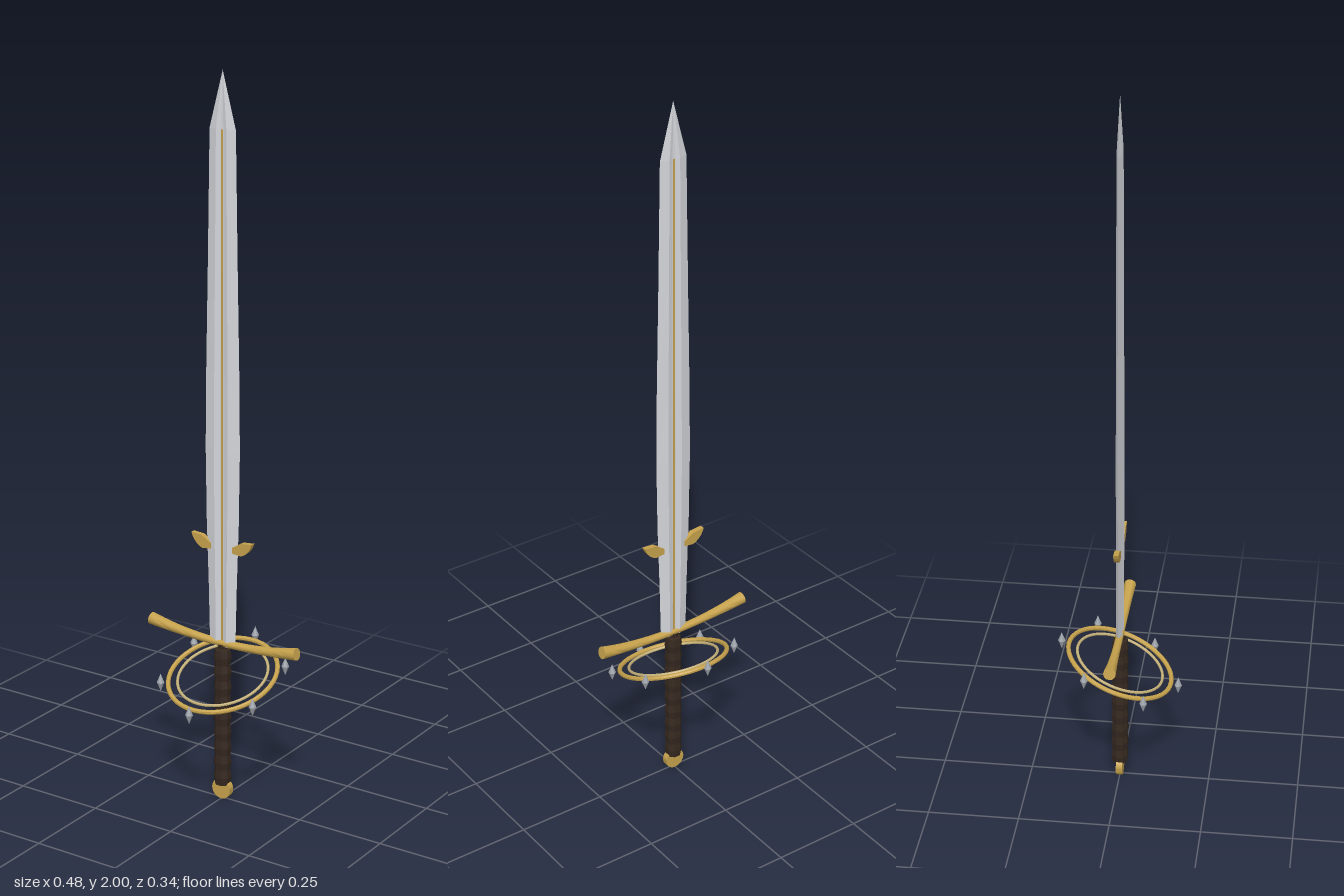
import * as THREE from 'three';
import { toCreasedNormals } from 'three/addons/utils/BufferGeometryUtils.js';

const mat = (color, flat = true) =>
  new THREE.MeshStandardMaterial({ color, flatShading: flat });

// Skin a series of rings (arrays of [x, y, z]) with quads
function loft(rings) {
  const n = rings[0].length, index = [];
  for (let r = 0; r < rings.length - 1; r++) {
    for (let i = 0; i < n; i++) {
      const a = r * n + i, b = r * n + (i + 1) % n;
      index.push(a, a + n, b, b, a + n, b + n);
    }
  }
  const geo = new THREE.BufferGeometry();
  geo.setAttribute('position', new THREE.Float32BufferAttribute(rings.flat(2), 3));
  geo.setIndex(index);
  geo.computeVertexNormals();
  return geo;
}

export function createModel() {
  const model = new THREE.Group();
  model.name = 'sword';
  const steel = mat(0xd4d6da);
  const gold = mat(0xc6a24c), goldSmooth = mat(0xc6a24c, false);
  const paleGold = mat(0xc4b078), gemMat = mat(0xa0a5ad), leather = mat(0x35281f);

  function add(name, geo, material, parent = model) {
    const mesh = new THREE.Mesh(geo, material);
    mesh.name = name;
    parent.add(mesh);
    return mesh;
  }

  // Blade: stations of [y, half width, half thickness], grooved diamond section
  const stations = [
    [0.45, 0.041, 0.009], [0.62, 0.045, 0.009], [0.8, 0.051, 0.009], [1.0, 0.054, 0.009],
    [1.2, 0.052, 0.0085], [1.5, 0.046, 0.008], [1.85, 0.04, 0.007], [2.0, 0, 0],
  ];
  const section = [
    [1, 0], [0.4, 1], [0.1, 0.45], [-0.1, 0.45], [-0.4, 1],
    [-1, 0], [-0.4, -1], [-0.1, -0.45], [0.1, -0.45], [0.4, -1],
  ];
  add('blade', loft(stations.map(([y, w, t]) =>
    section.map(([x, z]) => [x * w, y, z * t]))), steel);

  // Gold inlay along the fuller, just proud of the groove floor
  const corners = [[1, -1], [1, 1], [-1, 1], [-1, -1]];
  add('inlay', loft(stations.slice(0, -1).map(([y, , t]) =>
    corners.map(([x, z]) => [x * 0.003, y, z * (t * 0.45 + 0.0006)]))), gold);

  // Parrying lugs, one on each side of the blade
  const lugShape = new THREE.Shape();
  lugShape.moveTo(0.034, 0.722);
  lugShape.lineTo(0.062, 0.719);
  lugShape.quadraticCurveTo(0.088, 0.73, 0.096, 0.758);
  lugShape.lineTo(0.062, 0.755);
  lugShape.lineTo(0.034, 0.738);
  for (const side of [1, -1]) {
    const geo = new THREE.ExtrudeGeometry(lugShape, {
      depth: 0.014, bevelEnabled: false, curveSegments: 5,
    });
    geo.translate(0, 0, -0.007);
    if (side < 0) geo.rotateY(Math.PI);
    add(side > 0 ? 'leftLug' : 'rightLug', geo, gold);
  }

  // Crossguard: upswept bar flaring toward its ends, closed by zero-radius rings
  const guardRings = [], steps = 24, sides = 12;
  const guardRing = (x, r) => {
    const ring = [], y = 0.457 + 0.021 * (x / 0.235) ** 2;
    for (let i = 0; i < sides; i++) {
      const a = i / sides * Math.PI * 2;
      ring.push([x - Math.cos(a) * r * 0.17 * x / 0.235, y + Math.cos(a) * r, -Math.sin(a) * r]);
    }
    guardRings.push(ring);
  };
  guardRing(-0.235, 0);
  for (let i = 0; i <= steps; i++) {
    const u = i / steps * 2 - 1;
    guardRing(u * 0.235, 0.0105 + 0.0065 * Math.abs(u) ** 2.5);
  }
  guardRing(0.235, 0);
  add('crossguard', toCreasedNormals(loft(guardRings), 0.8), goldSmooth);

  // Grip: eight-sided lathe with wrapped swellings
  const gripProfile = [new THREE.Vector2(0, 0.04)];
  const waves = 9;
  for (let i = 0; i <= waves * 2; i++) {
    gripProfile.push(new THREE.Vector2(i % 2 ? 0.0245 : 0.0215, 0.043 + 0.397 * i / (waves * 2)));
  }
  gripProfile.push(new THREE.Vector2(0.013, 0.442), new THREE.Vector2(0.013, 0.455));
  add('grip', new THREE.LatheGeometry(gripProfile, 8, Math.PI / 8), leather);

  // Disc pommel facing front and back
  const pommel = new THREE.CylinderGeometry(0.029, 0.029, 0.018, 20);
  pommel.rotateX(Math.PI / 2);
  pommel.translate(0, 0.029, 0);
  add('pommel', toCreasedNormals(pommel, 0.8), goldSmooth);

  // Tilted double ring around the grip
  const tilt = 0.36;
  const rings = new THREE.Group();
  rings.name = 'handRings';
  rings.position.y = 0.365;
  model.add(rings);
  const ring = (name, radius, tube, material) => {
    const geo = new THREE.TorusGeometry(radius, tube, 8, 48);
    geo.rotateX(Math.PI / 2 + tilt);
    add(name, geo, material, rings);
  };
  ring('outerRing', 0.151, 0.0065, gold);
  ring('innerRing', 0.125, 0.004, paleGold);

  // Six upright crystals spaced around the outer ring
  for (let i = 0; i < 6; i++) {
    const a = Math.PI / 6 + i * Math.PI / 3, r = 0.172;
    const profile = [[0, -0.026], [0.0105, 0], [0, 0.026]].map(p => new THREE.Vector2(...p));
    const gem = add('crystal', new THREE.LatheGeometry(profile, 6), gemMat, rings);
    const z = Math.sin(a) * r;
    gem.position.set(Math.cos(a) * r, -z * Math.sin(tilt), z * Math.cos(tilt));
  }
  return model;
}
